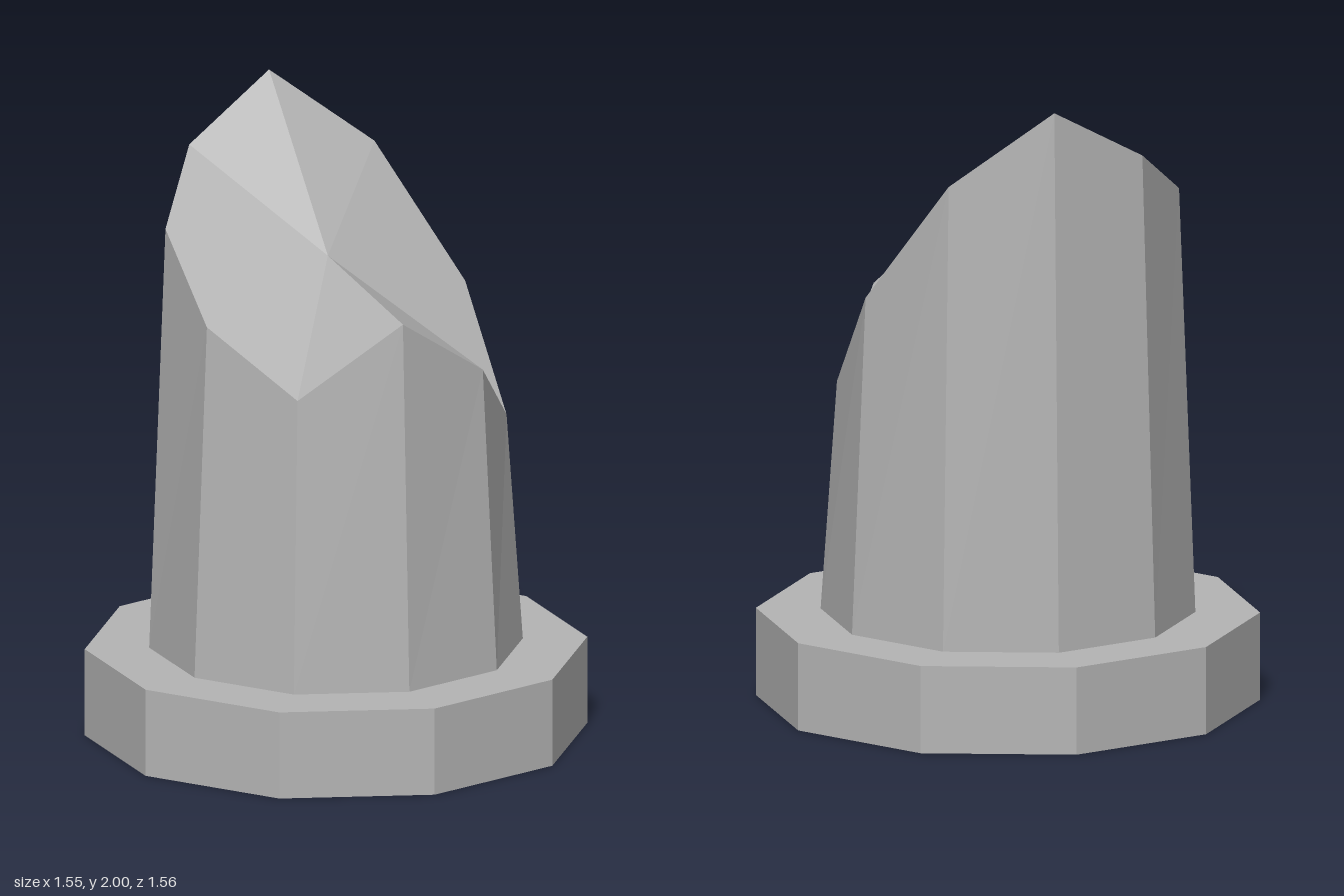
import * as THREE from 'three';

const SIDES = 10;
const START = THREE.MathUtils.degToRad(-81.2);

// Ring of corner points; height is one number or one per corner
function ring(radius, height) {
  return Array.from({ length: SIDES }, (_, k) => {
    const a = START + (k / SIDES) * Math.PI * 2;
    const y = Array.isArray(height) ? height[k] : height;
    return [radius * Math.cos(a), y, radius * Math.sin(a)];
  });
}

// Faceted surface from a flat list of triangle corners
function facets(name, corners, material) {
  const geometry = new THREE.BufferGeometry();
  geometry.setAttribute('position', new THREE.Float32BufferAttribute(corners.flat(), 3));
  geometry.computeVertexNormals();
  const mesh = new THREE.Mesh(geometry, material);
  mesh.name = name;
  return mesh;
}

// Band of quads joining two rings
function band(lower, upper) {
  const out = [];
  for (let k = 0; k < SIDES; k++) {
    const n = (k + 1) % SIDES;
    out.push(lower[k], upper[k], lower[n], lower[n], upper[k], upper[n]);
  }
  return out;
}

// Fan of triangles from a ring to one point
function fan(edge, point) {
  return edge.flatMap((p, k) => [p, point, edge[(k + 1) % SIDES]]);
}

export function createModel() {
  const stone = new THREE.MeshStandardMaterial({ color: 0xb4b4b4, side: THREE.DoubleSide });
  stone.name = 'grey stone';

  const plinthBottom = ring(0.787, 0);
  const plinthTop = ring(0.787, 0.28);
  const shaftBottom = ring(0.585, 0.28);
  // Jagged broken edge, starting at the tall back corner
  const brokenEdge = ring(0.534, [2, 1.76, 1.355, 1.01, 1.25, 1.46, 1.22, 1.41, 1.64, 1.82]);

  const model = new THREE.Group();
  model.name = 'brokenColumn';
  model.add(
    facets('plinthWall', band(plinthBottom, plinthTop), stone), // open underneath
    facets('plinthLedge', band(plinthTop, shaftBottom), stone),
    facets('shaft', band(shaftBottom, brokenEdge), stone),
    facets('brokenTop', fan(brokenEdge, [-0.005, 1.53, -0.04]), stone)
  );
  return model;
}
